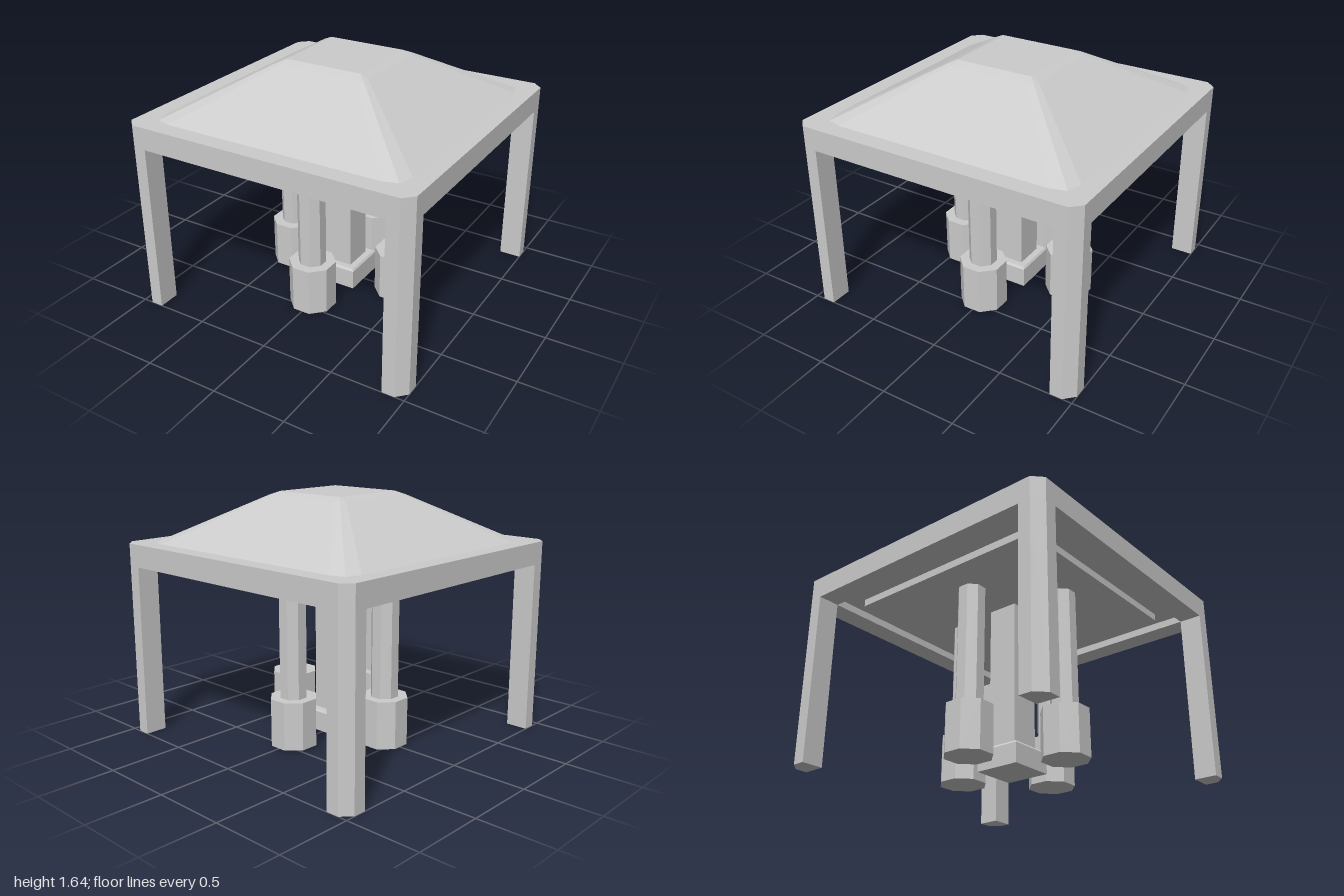
import * as THREE from 'three';

const material = new THREE.MeshStandardMaterial({ color: 0xcccccc, flatShading: true });

function add(parent, name, geometry, x = 0, y = 0, z = 0) {
  const mesh = new THREE.Mesh(geometry, material);
  mesh.name = name;
  mesh.position.set(x, y, z);
  parent.add(mesh);
  return mesh;
}

// Box given by its half width and its bottom and top heights
function block(parent, name, half, y0, y1) {
  return add(parent, name, new THREE.BoxGeometry(half * 2, y1 - y0, half * 2), 0, (y0 + y1) / 2, 0);
}

// Plan outline in x and z, extruded between two heights
function slab(points, y0, y1, hole) {
  const toShape = (p) => p.map(([x, z]) => new THREE.Vector2(x, z));
  const shape = new THREE.Shape(toShape(points));
  if (hole) shape.holes.push(new THREE.Path(toShape(hole)));
  return new THREE.ExtrudeGeometry(shape, { depth: y1 - y0, bevelEnabled: false })
    .rotateX(Math.PI / 2)
    .translate(0, y1, 0);
}

// Repeats the points of one corner around all four corners
function fourCorners(corner) {
  const ring = [];
  for (let k = 0; k < 4; k++) {
    for (const [x, z] of corner) {
      ring.push([[x, z], [-z, x], [-x, -z], [z, -x]][k]);
    }
  }
  return ring;
}

// Eight-sided prism with flat faces towards x and z
function octagon(half, y0, y1) {
  const r = half / Math.cos(Math.PI / 8);
  return new THREE.CylinderGeometry(r, r, y1 - y0, 8)
    .rotateY(Math.PI / 8)
    .translate(0, (y0 + y1) / 2, 0);
}

// Hipped roof lofted through rings with softened corners
function roofGeometry() {
  const levels = [
    [1.31, [[0.88, 0.75], [0.85, 0.85], [0.75, 0.88]]],
    [1.62, [[0.33, 0.28], [0.32, 0.32], [0.28, 0.33]]],
    [1.645, [[0.27, 0.265], [0.268, 0.268], [0.265, 0.27]]],
  ];
  const positions = [];
  const index = [];
  const n = 12;
  for (const [y, corner] of levels) {
    for (const [x, z] of fourCorners(corner)) positions.push(x, y, z);
  }
  for (let l = 0; l < levels.length - 1; l++) {
    for (let i = 0; i < n; i++) {
      const a = l * n + i;
      const b = l * n + (i + 1) % n;
      index.push(a, a + n, b, b, a + n, b + n);
    }
  }
  const top = (levels.length - 1) * n;
  for (let i = 1; i < n - 1; i++) index.push(top, top + i + 1, top + i);
  const geometry = new THREE.BufferGeometry();
  geometry.setAttribute('position', new THREE.Float32BufferAttribute(positions, 3));
  geometry.setIndex(index);
  const flat = geometry.toNonIndexed();
  flat.computeVertexNormals();
  return flat;
}

export function createModel() {
  const model = new THREE.Group();
  model.name = 'pavilion';

  // Square beam frame with clipped corners
  const outline = fourCorners([[1, 0.935], [0.935, 1]]);
  add(model, 'beamFrame', slab(outline, 1.16, 1.31, fourCorners([[0.85, 0.85]])));

  // Ceiling with a recessed channel around its middle panel
  block(model, 'ceiling', 0.85, 1.21, 1.31);
  block(model, 'ceilingPanel', 0.72, 1.16, 1.21);

  add(model, 'roof', roofGeometry());

  // Corner legs with the outer edge clipped
  const legPlan = [[0.85, 0.85], [1, 0.85], [1, 0.935], [0.935, 1], [0.85, 1]];
  const legGeometry = slab(legPlan, 0, 1.16);
  for (let i = 0; i < 4; i++) {
    add(model, 'cornerLeg', legGeometry).rotation.y = i * Math.PI / 2;
  }

  // Square middle pillar on a stepped foot
  const pillar = new THREE.Group();
  pillar.name = 'middlePillar';
  model.add(pillar);
  block(pillar, 'pillarShaft', 0.105, 0.15, 1.16);
  block(pillar, 'pillarFoot', 0.158, 0.005, 0.14);
  const bevel = new THREE.CylinderGeometry(0.148 * Math.SQRT2, 0.158 * Math.SQRT2, 0.014, 4)
    .rotateY(Math.PI / 4);
  add(pillar, 'pillarFootBevel', bevel, 0, 0.147, 0);

  // Four eight-sided columns around the pillar
  const shaftGeometry = octagon(0.086, 0.33, 1.16);
  const footGeometry = octagon(0.147, 0.005, 0.33);
  for (const [x, z] of fourCorners([[0.424, 0]])) {
    const column = new THREE.Group();
    column.name = 'column';
    column.position.set(x, 0, z);
    add(column, 'columnShaft', shaftGeometry);
    add(column, 'columnFoot', footGeometry);
    model.add(column);
  }

  return model;
}
